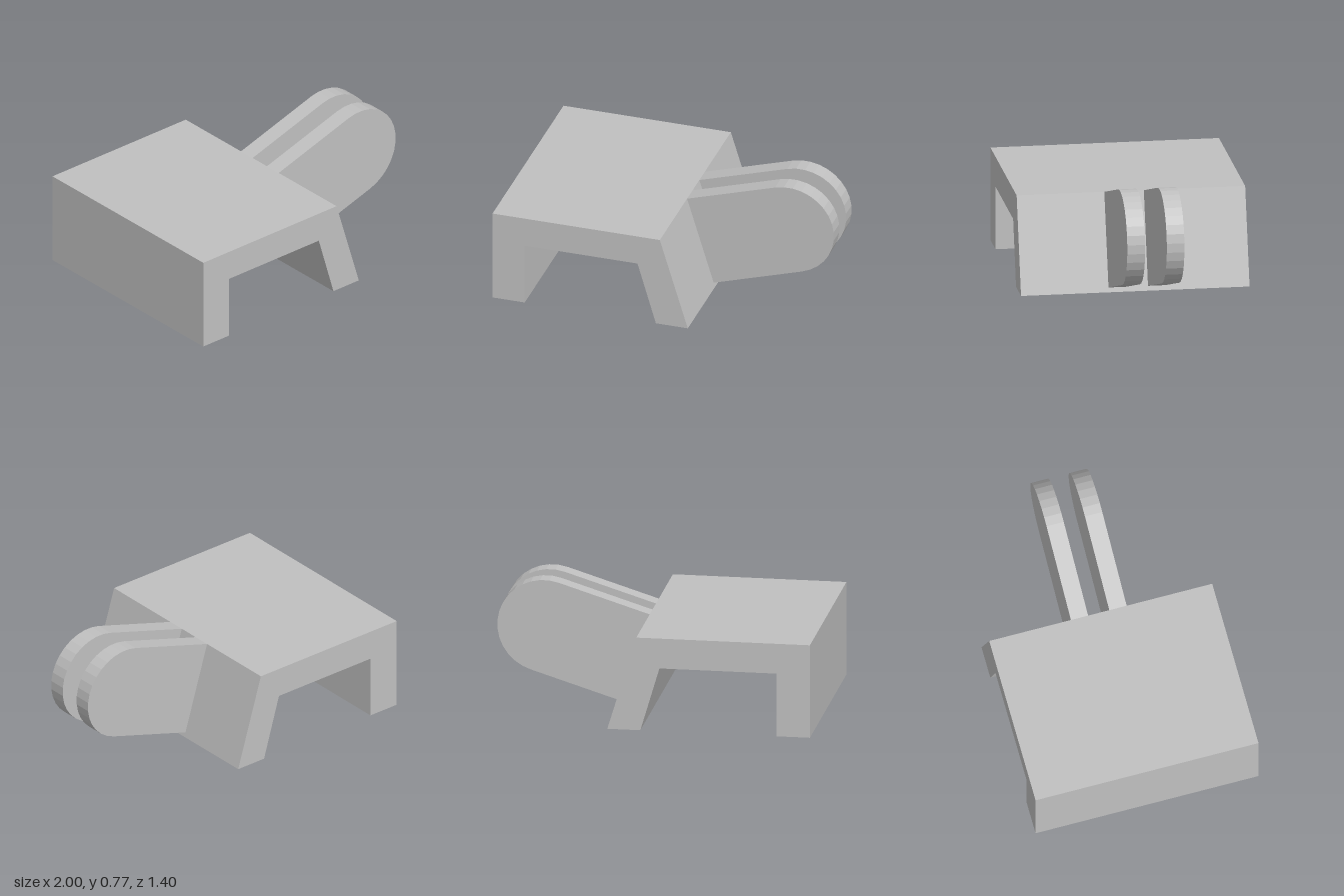
import * as THREE from 'three';

// Extrude an x-y outline between two z positions
function slab(name, shape, z0, z1, material) {
  const geometry = new THREE.ExtrudeGeometry(shape, {
    depth: z1 - z0, bevelEnabled: false, curveSegments: 8,
  });
  geometry.translate(0, 0, z0);
  const mesh = new THREE.Mesh(geometry, material);
  mesh.name = name;
  return mesh;
}

export function createModel() {
  const group = new THREE.Group();
  group.name = 'mountingBracket';
  const grey = new THREE.MeshStandardMaterial({ color: 0xc0c0c0, flatShading: true });
  grey.name = 'light grey';

  // Channel: flat top, straight leg on one side, slanted leg on the other
  const channel = new THREE.Shape([
    [-1, 0], [-0.795, 0], [-0.795, 0.395], [-0.077, 0.395],
    [0.04, 0], [0.243, 0], [0.065, 0.583], [-1, 0.583],
  ].map(([x, y]) => new THREE.Vector2(x, y)));
  group.add(slab('channelBody', channel, -0.7, 0.7, grey));

  // Two round-ended lugs standing square to the slanted leg
  const tilt = Math.atan2(0.178, 0.583);
  const radius = 0.29;
  const lug = new THREE.Shape();
  lug.moveTo(0.065, 0.583);
  lug.lineTo(0.065 + 2 * radius * Math.sin(tilt), 0.583 - 2 * radius * Math.cos(tilt));
  lug.absarc(0.71, 0.48, radius, tilt - Math.PI / 2, tilt + Math.PI / 2, false);
  lug.closePath();
  group.add(slab('frontLug', lug, 0.054, 0.163, grey));
  group.add(slab('backLug', lug, -0.187, -0.079, grey));

  return group;
}
